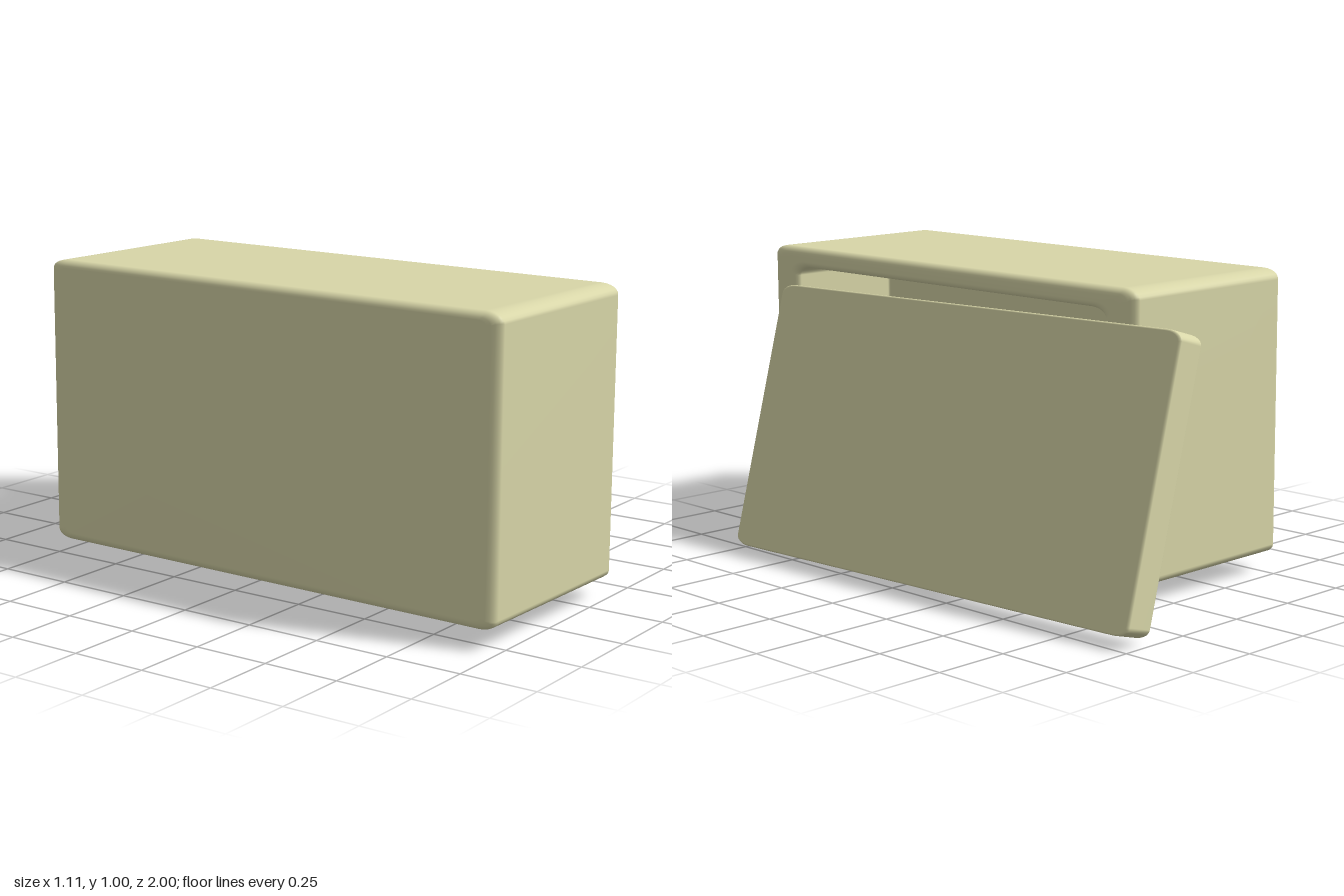
import * as THREE from 'three';

// Edges are stretched along the long (z) side of the container
const STRETCH = 1.85;
const CORNER_STEPS = 6;

// Quarter-round profile from (x0, inset0) to (x1, inset1).
// xFirst: the curve leaves along x; otherwise it leaves along the inset direction.
function round(x0, i0, x1, i1, r0, r1, xFirst, steps = 5) {
  const out = [];
  for (let s = 0; s <= steps; s++) {
    const a = (s / steps) * Math.PI / 2;
    const u = Math.sin(a), v = 1 - Math.cos(a);
    out.push([
      x0 + (x1 - x0) * (xFirst ? u : v),
      i0 + (i1 - i0) * (xFirst ? v : u),
      r0 + (r1 - r0) * s / steps,
    ]);
  }
  return out;
}

// Loft rounded rectangles [x, inset, cornerRadius] along x and close both ends
function loft(height, length, profile) {
  const pos = [], idx = [];
  const n = 4 * (CORNER_STEPS + 1);
  for (const [x, inset, r] of profile) {
    const rz = r * STRETCH;
    const cy = height / 2 - inset - r;
    const cz = length / 2 - inset * STRETCH - rz;
    for (let c = 0; c < 4; c++) {
      const sy = c === 0 || c === 3 ? 1 : -1;
      const sz = c < 2 ? 1 : -1;
      for (let s = 0; s <= CORNER_STEPS; s++) {
        const a = (c + s / CORNER_STEPS) * Math.PI / 2;
        pos.push(x, sy * cy + r * Math.cos(a), sz * cz + rz * Math.sin(a));
      }
    }
  }
  for (let j = 0; j < profile.length - 1; j++) {
    for (let i = 0; i < n; i++) {
      const a = j * n + i, b = j * n + (i + 1) % n;
      idx.push(a, b, a + n, b, b + n, a + n);
    }
  }
  const start = pos.length / 3, last = (profile.length - 1) * n;
  pos.push(profile[0][0], 0, 0, profile[profile.length - 1][0], 0, 0);
  for (let i = 0; i < n; i++) {
    const k = (i + 1) % n;
    idx.push(start, k, i, start + 1, last + i, last + k);
  }
  const g = new THREE.BufferGeometry();
  g.setAttribute('position', new THREE.Float32BufferAttribute(pos, 3));
  g.setIndex(idx);
  g.computeVertexNormals();
  return g;
}

// Hollow tray, opening toward +x
function tray({ width, height, length, depth, edge, lip, wall, corner, inner }) {
  const w = width / 2, floor = w - depth, f = 0.008;
  return loft(height, length, [
    ...round(-w, edge, -w + edge, 0, corner - edge * 0.7, corner, false),
    ...round(w - edge, 0, w, edge, corner, corner - edge * 0.7, true),
    ...round(w, wall - lip, w - lip, wall, inner + lip * 0.5, inner, false),
    ...round(floor + f, wall, floor, wall + f, inner, inner - f * 0.7, true),
  ]);
}

export function createModel() {
  const model = new THREE.Group();
  model.name = 'openContainer';
  const cream = new THREE.MeshStandardMaterial({ color: 0xd8d6a8 });
  cream.name = 'cream';

  // Container lying on its side
  const body = new THREE.Mesh(tray({
    width: 0.70, height: 0.94, length: 1.726, depth: 0.43,
    edge: 0.026, lip: 0.02, wall: 0.07, corner: 0.035, inner: 0.03,
  }), cream);
  body.name = 'containerBody';
  body.position.set(-0.191, 0.537, 0.132);
  body.rotation.set(0, -0.0125, -0.008);
  model.add(body);

  // Shallow lid leaning on the open side, its hollow facing the container
  const lidGeometry = tray({
    width: 0.103, height: 0.90, length: 1.737, depth: 0.06,
    edge: 0.006, lip: 0.006, wall: 0.06, corner: 0.032, inner: 0.028,
  });
  lidGeometry.rotateY(Math.PI);
  const lid = new THREE.Mesh(lidGeometry, cream);
  lid.name = 'lid';
  const along = new THREE.Vector3(0.033, -0.01, 1).normalize();
  const up = new THREE.Vector3(-0.245, 0.865, 0.0167).normalize();
  const out = new THREE.Vector3().crossVectors(up, along).normalize();
  up.crossVectors(along, out);
  lid.quaternion.setFromRotationMatrix(new THREE.Matrix4().makeBasis(out, up, along));
  lid.position.set(0.355, 0.463, -0.123);
  model.add(lid);

  return model;
}
